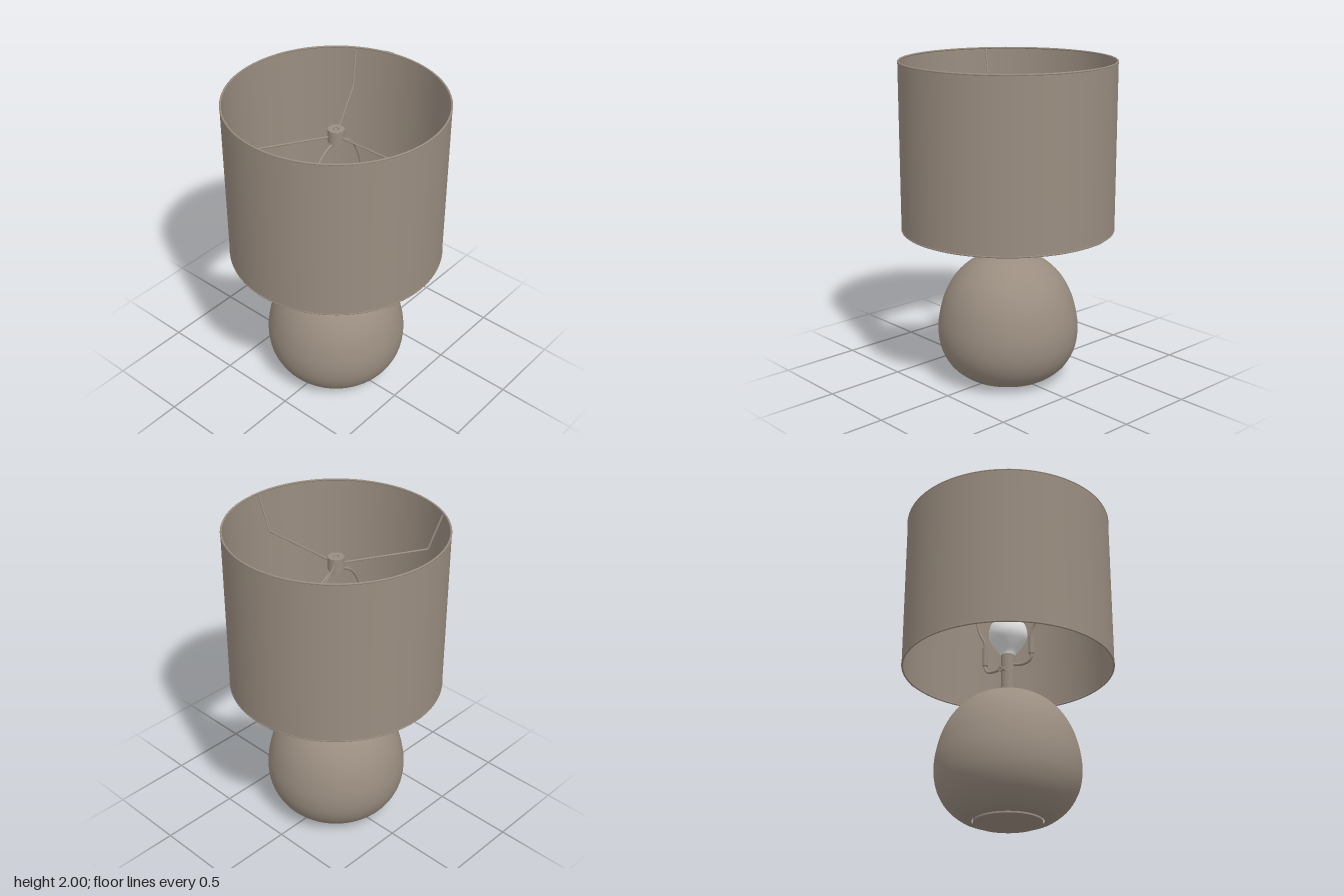
import * as THREE from 'three';

export function createModel() {
  const model = new THREE.Group();
  const taupe = new THREE.MeshStandardMaterial({ color: 0x9a8d80 });
  taupe.name = 'taupe';
  const white = new THREE.MeshStandardMaterial({ color: 0xe6e6e6 });
  white.name = 'bulbWhite';
  const taupeSheet = new THREE.MeshStandardMaterial({ color: 0x9a8d80, side: THREE.DoubleSide });
  taupeSheet.name = 'taupe';

  const add = (name, geometry, material = taupe, parent = model) => {
    const mesh = new THREE.Mesh(geometry, material);
    mesh.name = name;
    parent.add(mesh);
    return mesh;
  };
  const v2 = (pts) => pts.map(([x, y]) => new THREE.Vector2(x, y));
  const v3 = (pts) => pts.map(([x, y, z = 0]) => new THREE.Vector3(x, y, z));
  // Upright cylinder between two heights
  const post = (name, r, y0, y1, x = 0, z = 0, sides = 32) => {
    const mesh = add(name, new THREE.CylinderGeometry(r, r, y1 - y0, sides));
    mesh.position.set(x, (y0 + y1) / 2, z);
    return mesh;
  };

  // Rounded base with a flat foot
  const curve = new THREE.SplineCurve(v2([
    [0.21, 0.008], [0.28, 0.03], [0.365, 0.1], [0.42, 0.2], [0.438, 0.31], [0.428, 0.42],
    [0.395, 0.54], [0.335, 0.65], [0.25, 0.735], [0.15, 0.787], [0.06, 0.808], [0, 0.812],
  ]));
  add('base', new THREE.LatheGeometry(curve.getPoints(48), 72));
  post('foot', 0.205, 0, 0.012, 0, 0, 64);

  // Neck, collar and socket
  post('collar', 0.058, 0.805, 0.833);
  post('neckRing', 0.051, 0.833, 0.845);
  post('neck', 0.044, 0.84, 1.07);

  // Turn switch at the back of the neck
  const stem = add('switchStem', new THREE.CylinderGeometry(0.008, 0.008, 0.06, 16));
  stem.rotation.x = Math.PI / 2;
  stem.position.set(0, 0.955, -0.065);
  const key = add('switchKey', new THREE.CylinderGeometry(0.018, 0.018, 0.012, 20));
  key.rotation.x = Math.PI / 2;
  key.position.set(0, 0.95, -0.08);

  // Bulb
  const bulb = new THREE.SplineCurve(v2([
    [0.042, 1.06], [0.052, 1.085], [0.085, 1.13], [0.113, 1.175], [0.12, 1.215],
    [0.11, 1.265], [0.08, 1.305], [0.04, 1.328], [0, 1.333],
  ]));
  add('bulb', new THREE.LatheGeometry(bulb.getPoints(32), 48), white);

  // Harp: lower arms, sleeves and the wire arch
  for (const s of [-1, 1]) {
    const arm = new THREE.CatmullRomCurve3(v3([
      [s * 0.03, 1.0], [s * 0.1, 0.985], [s * 0.15, 0.993], [s * 0.17, 1.02], [s * 0.17, 1.06],
    ]));
    add('harpArm', new THREE.TubeGeometry(arm, 24, 0.009, 10));
    post('harpSleeve', 0.017, 1.04, 1.165, s * 0.17, 0, 20);
  }
  const arch = new THREE.CatmullRomCurve3(v3([
    [-0.17, 1.15], [-0.175, 1.2], [-0.215, 1.28], [-0.235, 1.38], [-0.215, 1.52], [-0.14, 1.66], [-0.05, 1.715],
    [0.05, 1.715], [0.14, 1.66], [0.215, 1.52], [0.235, 1.38], [0.215, 1.28], [0.175, 1.2], [0.17, 1.15],
  ]));
  add('harpWire', new THREE.TubeGeometry(arch, 90, 0.009, 10));
  post('harpSaddle', 0.035, 1.708, 1.73);

  // Hub with a sunken centre and its screw
  const hub = new THREE.Shape().absarc(0, 0, 0.048, 0, Math.PI * 2);
  hub.holes.push(new THREE.Path().absarc(0, 0, 0.018, 0, Math.PI * 2, true));
  const hubMesh = add('hub', new THREE.ExtrudeGeometry(hub, { depth: 0.08, bevelEnabled: false, curveSegments: 32 }));
  hubMesh.rotation.x = -Math.PI / 2;
  hubMesh.position.y = 1.73;
  post('hubScrew', 0.013, 1.72, 1.808, 0, 0, 16);

  // Three spider arms rising to the top rim
  for (let i = 0; i < 3; i++) {
    const spoke = new THREE.CurvePath();
    const [a, b, c] = v3([[0, 1.765, 0.04], [0, 1.775, 0.56], [0, 1.99, 0.642]]);
    spoke.add(new THREE.LineCurve3(a, b));
    spoke.add(new THREE.LineCurve3(b, c));
    const arm = add('spiderArm', new THREE.TubeGeometry(spoke, 48, 0.006, 8));
    arm.rotation.y = i * Math.PI * 2 / 3;
  }

  // Drum shade: thin wall, rim rings and overlapping seam
  const shade = new THREE.Group();
  shade.name = 'shade';
  model.add(shade);
  for (const [name, r] of [['shadeOuter', 0.651], ['shadeInner', 0.646]]) {
    const wall = add(name, new THREE.CylinderGeometry(r, r, 1.02, 96, 1, true), taupeSheet, shade);
    wall.position.y = 1.485;
  }
  for (const y of [0.976, 1.994]) {
    const rim = add('shadeRim', new THREE.TorusGeometry(0.647, 0.006, 10, 96), taupe, shade);
    rim.rotation.x = Math.PI / 2;
    rim.position.y = y;
  }
  const seam = add('shadeSeam',
    new THREE.CylinderGeometry(0.654, 0.654, 1.028, 6, 1, true, Math.PI / 2 + 0.154, 0.085), taupeSheet, shade);
  seam.position.y = 1.485;

  return model;
}
